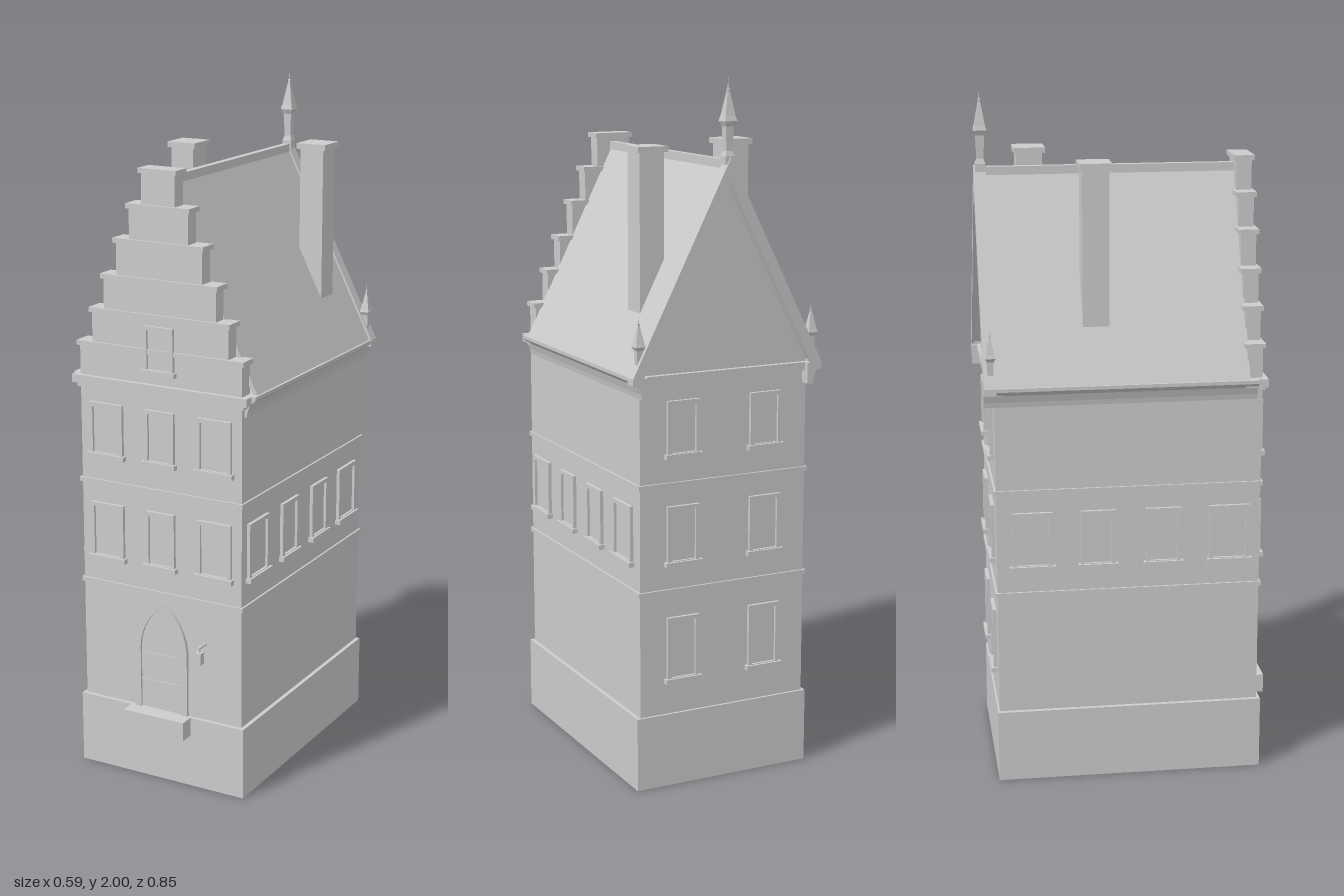
import * as THREE from 'three';

const mat = new THREE.MeshStandardMaterial({ color: 0xcccccc, side: THREE.DoubleSide });
const flat = new THREE.MeshStandardMaterial({ color: 0xcccccc, flatShading: true, side: THREE.DoubleSide });

function add(parent, name, geometry, x = 0, y = 0, z = 0, material = mat) {
  const mesh = new THREE.Mesh(geometry, material);
  mesh.name = name;
  mesh.position.set(x, y, z);
  parent.add(mesh);
  return mesh;
}

// Box given by its extents on each axis
function box(parent, name, x0, x1, y0, y1, z0, z1) {
  return add(parent, name, new THREE.BoxGeometry(x1 - x0, y1 - y0, z1 - z0),
    (x0 + x1) / 2, (y0 + y1) / 2, (z0 + z1) / 2);
}

const extrude = (shape, depth) =>
  new THREE.ExtrudeGeometry(shape, { depth, bevelEnabled: false, curveSegments: 10 });

const polygon = (points) => new THREE.Shape(points.map(([x, y]) => new THREE.Vector2(x, y)));

// Inverted V band: ridge height, eaves half-width and height, vertical thickness
const chevron = (ridge, x, eaves, t) => polygon([
  [-x, eaves], [-x, eaves - t * 0.3], [-x + t * 0.35, eaves - t * 0.3], [0, ridge - t],
  [x - t * 0.35, eaves - t * 0.3], [x, eaves - t * 0.3], [x, eaves], [0, ridge],
]);

// Framed window facing +z with its sill, standing on y = 0
function makeWindow(w, h) {
  const g = new THREE.Group();
  g.name = 'window';
  const t = 0.012;
  const frame = polygon([[-w / 2, 0], [w / 2, 0], [w / 2, h], [-w / 2, h]]);
  frame.holes.push(polygon([[-w / 2 + t, t], [-w / 2 + t, h - t], [w / 2 - t, h - t], [w / 2 - t, t]]));
  add(g, 'windowFrame', extrude(frame, 0.02), 0, 0, -0.01);
  box(g, 'windowPane', -w / 2 + t, w / 2 - t, t, h - t, -0.008, 0.002);
  box(g, 'windowSill', -w / 2 - 0.007, w / 2 + 0.007, -0.004, 0.01, -0.01, 0.017);
  return g;
}

function placeWindow(parent, w, h, x, y, z, turn = 0) {
  const win = makeWindow(w, h);
  win.position.set(x, y, z);
  win.rotation.y = turn;
  parent.add(win);
}

// Pointed arch outline
function arch(w, bottom, spring, apex, Type = THREE.Shape) {
  const rise = apex - spring;
  const r = (w * w + rise * rise) / (2 * w);
  const a = Math.asin(rise / r);
  const s = new Type();
  s.moveTo(-w, bottom);
  s.lineTo(w, bottom);
  s.lineTo(w, spring);
  s.absarc(w - r, spring, r, 0, a, false);
  s.absarc(r - w, spring, r, Math.PI - a, Math.PI, false);
  s.lineTo(-w, bottom);
  return s;
}

// Four-sided finial, unit profile scaled to the wanted height and half-width
function finial(parent, x, y, z, height, half) {
  const profile = [[0.75, 0], [0.75, 0.1], [0.5, 0.16], [0.65, 0.44], [1, 0.5],
    [0.8, 0.56], [0.18, 0.84], [0.18, 0.87], [0.08, 0.88], [0, 1]]
    .map(([r, h]) => new THREE.Vector2(r * half * Math.SQRT2, h * height));
  add(parent, 'finial', new THREE.LatheGeometry(profile, 4), x, y, z, flat).rotation.y = Math.PI / 4;
}

export function createModel() {
  const house = new THREE.Group();
  house.name = 'townHouse';
  const front = 0.37, back = -0.395, side = 0.262;

  // Hollow plinth, open underneath
  const plinth = new THREE.BoxGeometry(0.546, 0.215, 0.78);
  const faces = Array.from(plinth.index.array);
  faces.splice(18, 6);
  plinth.setIndex(faces);
  plinth.clearGroups();
  add(house, 'plinth', plinth, 0, 0.1075, -0.01);

  // Walls, string courses and cornices
  box(house, 'walls', -side, side, 0.216, 1.19, back, front);
  for (const y of [0.572, 0.88])
    box(house, 'stringCourse', -side - 0.006, side + 0.006, y, y + 0.013, back - 0.006, front + 0.006);
  box(house, 'frontCornice', -0.283, 0.283, 1.176, 1.2, 0.32, 0.384);
  box(house, 'frontCorniceMoulding', -0.27, 0.27, 1.165, 1.176, 0.33, 0.377);
  box(house, 'backCornice', -0.28, 0.28, 1.176, 1.2, -0.41, -0.37);

  // Eaves mouldings on both sides
  for (const s of [-1, 1]) {
    const cove = polygon([[0.25, 1.14], [0.268, 1.14], [0.271, 1.155], [0.278, 1.176],
      [0.295, 1.19], [0.295, 1.2], [0.25, 1.2]].map(([x, y]) => [s * x, y]));
    add(house, 'eaves', extrude(cove, 0.78), 0, 0, -0.425);
  }

  // Stepped front gable with a coping on each tier
  const tiers = [[0.262, 1.3], [0.22, 1.4], [0.18, 1.5], [0.137, 1.605], [0.094, 1.705], [0.053, 1.805]];
  let base = 1.195;
  for (const [w, top] of tiers) {
    box(house, 'gableTier', -w, w, base, top - 0.014, 0.326, front);
    box(house, 'gableCoping', -w - 0.007, w + 0.007, top - 0.014, top, 0.318, 0.377);
    base = top - 0.014;
  }

  // Roof, ridge and rear gable
  add(house, 'roof', extrude(chevron(1.772, 0.288, 1.2, 0.03), 0.75), 0, 0, -0.42);
  box(house, 'ridge', -0.01, 0.01, 1.755, 1.779, -0.42, 0.33);
  add(house, 'rearGable', extrude(polygon([[-0.27, 1.19], [0.27, 1.19], [0, 1.75]]), 0.02), 0, 0, back);
  add(house, 'bargeBoard', extrude(chevron(1.785, 0.296, 1.2, 0.066), 0.035), 0, 0, -0.425);
  finial(house, 0, 1.765, -0.405, 0.235, 0.019);
  for (const s of [-1, 1]) finial(house, s * 0.27, 1.2, -0.405, 0.17, 0.015);

  // Chimneys
  for (const [x, z] of [[-0.175, -0.1], [0.173, -0.253]]) {
    box(house, 'chimney', x - 0.037, x + 0.037, 1.345, 1.8, z - 0.038, z + 0.038);
    box(house, 'chimneyCap', x - 0.046, x + 0.046, 1.796, 1.812, z - 0.046, z + 0.046);
  }

  // Front windows
  for (const [y, h] of [[0.655, 0.17], [0.965, 0.16]])
    for (const [x, w] of [[-0.176, 0.11], [0, 0.096], [0.176, 0.11]])
      placeWindow(house, w, h, x, y, front);
  placeWindow(house, 0.096, 0.135, 0, 1.232, front);

  // Side windows, mirrored
  for (const s of [-1, 1])
    for (const [z, w] of [[0.28, 0.118], [0.087, 0.102], [-0.103, 0.102], [-0.293, 0.118]])
      placeWindow(house, w, 0.17, s * side, 0.655, z, s * Math.PI / 2);

  // Back windows
  for (const [y, h] of [[0.312, 0.19], [0.655, 0.17], [0.965, 0.16]])
    for (const x of [-0.13, 0.13]) placeWindow(house, 0.1, h, x, y, back, Math.PI);

  // Arched doorway, planked door and step
  const surround = arch(0.088, 0.21, 0.4, 0.56);
  surround.holes.push(arch(0.067, 0.21, 0.4, 0.535, THREE.Path));
  add(house, 'doorSurround', extrude(surround, 0.02), 0, 0, 0.36);
  add(house, 'door', extrude(arch(0.07, 0.21, 0.4, 0.538), 0.012), 0, 0, 0.361);
  for (const y of [0.3, 0.385]) box(house, 'doorRail', -0.066, 0.066, y, y + 0.006, 0.365, 0.376);
  box(house, 'doorStep', -0.1, 0.1, 0.16, 0.216, 0.35, 0.425);

  // Wall lantern on its bracket
  box(house, 'lanternArm', 0.143, 0.149, 0.45, 0.455, 0.365, 0.412);
  box(house, 'lanternHook', 0.144, 0.148, 0.438, 0.452, 0.406, 0.41);
  box(house, 'lantern', 0.136, 0.156, 0.405, 0.44, 0.398, 0.418);

  return house;
}
